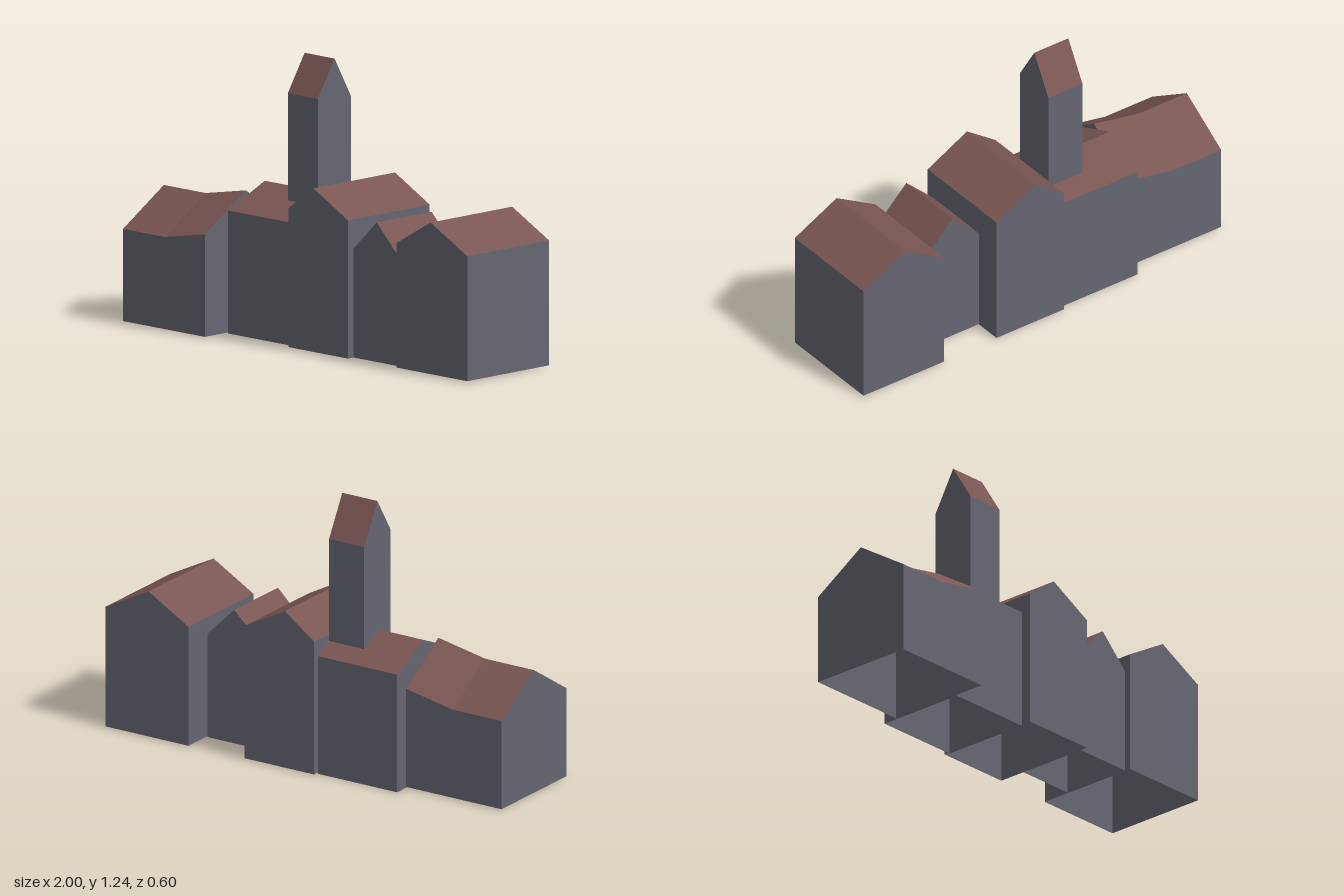
import * as THREE from 'three';

const wall = new THREE.MeshStandardMaterial({ color: 0x666673, side: THREE.DoubleSide, flatShading: true });
wall.name = 'slateWall';
const roof = new THREE.MeshStandardMaterial({ color: 0x7a5653, side: THREE.DoubleSide, flatShading: true });
roof.name = 'redBrownRoof';

function surface(name, faces, material) {
  const positions = [];
  for (const face of faces) {
    // fan each flat polygon
    for (let i = 1; i < face.length - 1; i++) positions.push(...face[0], ...face[i], ...face[i + 1]);
  }
  const geometry = new THREE.BufferGeometry();
  geometry.setAttribute('position', new THREE.Float32BufferAttribute(positions, 3));
  geometry.computeVertexNormals();
  const mesh = new THREE.Mesh(geometry, material);
  mesh.name = name;
  return mesh;
}

// Gabled block, open underneath. Stations run along the ridge as [position, rise];
// across = [low side, ridge, high side], eaves = [low side, high side].
function gabledBlock({ name, axis, stations, across, eaves, ridge, base = 0.005 }) {
  const [lo, mid, hi] = across;
  const place = axis === 'z' ? (c, y, s) => [c, y, s] : (c, y, s) => [s, y, -c];
  const sections = stations.map(([s, rise]) => [
    place(lo, base, s),
    place(lo, eaves[0] + rise, s),
    place(mid, ridge + rise, s),
    place(hi, eaves[1] + rise, s),
    place(hi, base, s),
  ]);
  const wallFaces = [sections[0], [...sections[sections.length - 1]].reverse()];
  const roofFaces = [];
  for (let k = 0; k < sections.length - 1; k++) {
    const a = sections[k], b = sections[k + 1];
    for (let i = 0; i < 4; i++) {
      const quad = [a[i], b[i], b[i + 1], a[i + 1]];
      (i === 1 || i === 2 ? roofFaces : wallFaces).push(quad);
    }
  }
  const block = new THREE.Group();
  block.name = name;
  block.add(surface(name + 'Walls', wallFaces, wall), surface(name + 'Roof', roofFaces, roof));
  return block;
}

export function createModel() {
  const model = new THREE.Group();
  model.name = 'rowOfHouses';
  const blocks = [
    // low house whose roof sweeps up towards its neighbour
    { name: 'sweptRoofHouse', axis: 'x', stations: [[-1, 0], [-0.745, 0], [-0.5, 0.046]],
      across: [-0.3, -0.05, 0.2], eaves: [0.411, 0.411], ridge: 0.57 },
    // house beneath the tower
    { name: 'towerHouse', axis: 'x', stations: [[-0.5, 0], [-0.085, 0]],
      across: [-0.157, 0.067, 0.267], eaves: [0.542, 0.542], ridge: 0.642, base: 0 },
    { name: 'tower', axis: 'x', stations: [[-0.268, 0], [-0.085, 0]],
      across: [-0.025, 0.078, 0.18], eaves: [1.073, 1.055], ridge: 1.237, base: 0.575 },
    // gable-fronted houses
    { name: 'tallHouse', axis: 'z', stations: [[-0.295, 0], [0.205, 0]],
      across: [-0.085, 0.068, 0.279], eaves: [0.617, 0.614], ridge: 0.726 },
    { name: 'smallHouse', axis: 'z', stations: [[-0.166, 0], [0.17, 0]],
      across: [0.279, 0.42, 0.561], eaves: [0.486, 0.48], ridge: 0.62 },
    { name: 'endHouse', axis: 'z', stations: [[-0.303, 0], [0.197, 0]],
      across: [0.566, 0.775, 1], eaves: [0.553, 0.556], ridge: 0.673 },
  ];
  for (const block of blocks) model.add(gabledBlock(block));
  return model;
}
